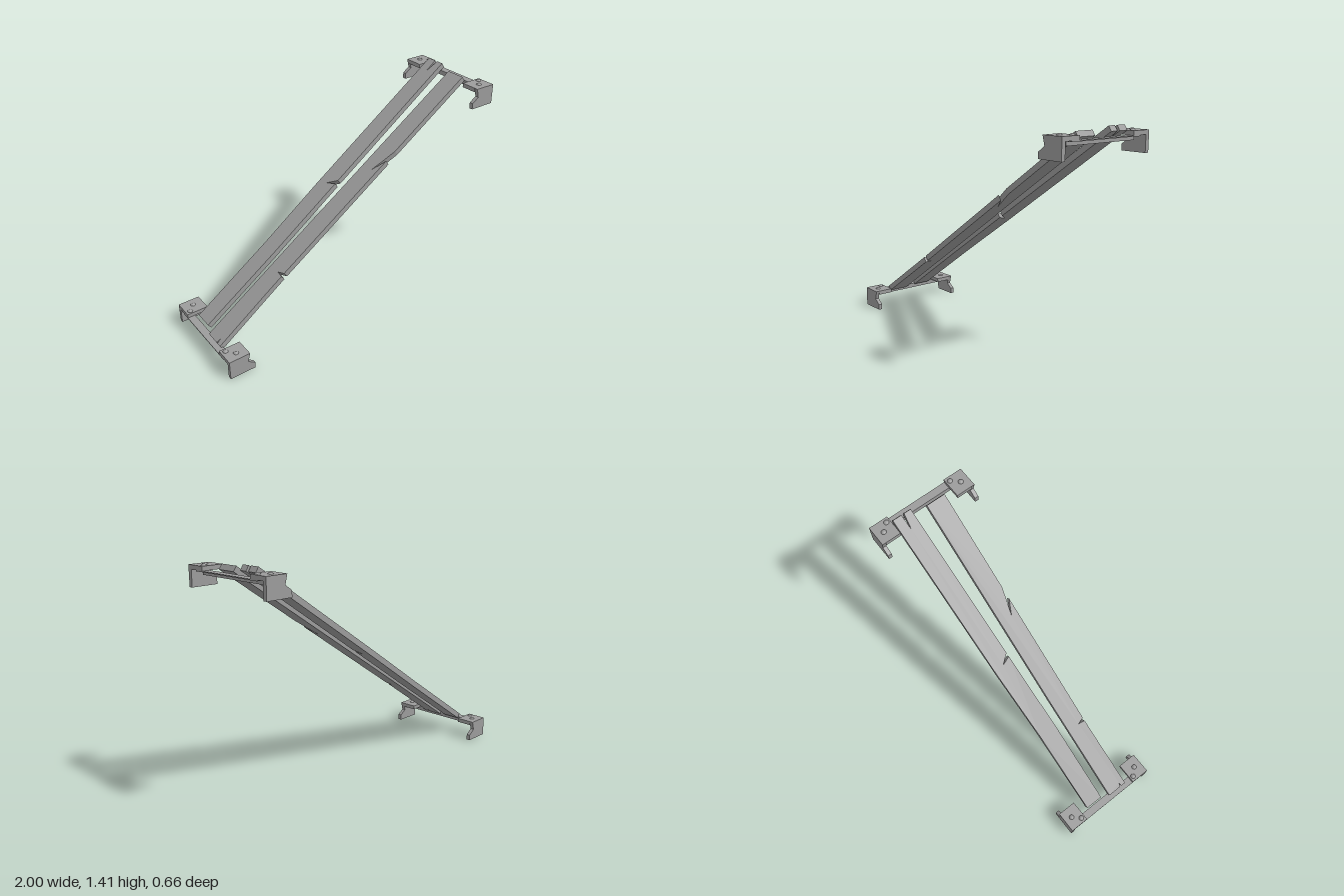
import * as THREE from 'three';

const material = new THREE.MeshStandardMaterial({ color: 0x9c9c9c, flatShading: true });

function mesh(name, geometry, x = 0, y = 0, z = 0) {
  const m = new THREE.Mesh(geometry, material);
  m.name = name;
  m.position.set(x, y, z);
  return m;
}

function extrude(points, depth) {
  const shape = new THREE.Shape(points.map(([x, y]) => new THREE.Vector2(x, y)));
  return new THREE.ExtrudeGeometry(shape, { depth, bevelEnabled: false });
}

// One end of the ramp: an angle-section crossbar hung between two bolted brackets
function createEnd(name) {
  const end = new THREE.Group();
  end.name = name;
  const angle = [[-1, 0.101], [-1, 0.095], [-0.956, 0.095], [-0.956, 0.071], [-0.95, 0.071], [-0.95, 0.101]];
  end.add(mesh('crossbar', extrude(angle, 0.52), 0, 0, -0.26));

  const plate = [[-1, 0], [-0.83, 0], [-0.83, 0.038], [-0.875, 0.07], [-0.86, 0.127], [-1, 0.127]];
  for (const side of [1, -1]) {
    const bracket = new THREE.Group();
    bracket.name = side > 0 ? 'frontBracket' : 'backBracket';
    bracket.add(mesh('sidePlate', extrude(plate, 0.025), 0, 0, side > 0 ? 0.306 : -0.331));
    bracket.add(mesh('topPlate', new THREE.BoxGeometry(0.14, 0.026, 0.102), -0.93, 0.114, side * 0.256));
    // Low domed bolt heads
    for (const [x, z] of [[-0.97, 0.23], [-0.926, 0.278]]) {
      const dome = new THREE.SphereGeometry(0.0195, 12, 3, 0, Math.PI * 2, 0, 1.06);
      bracket.add(mesh('bolt', dome, x, 0.1174, side * z));
    }
    end.add(bracket);
  }
  return end;
}

// Sloping plank; outline is given in plan as [x, z] of its upper face
const slope = Math.atan(0.677);
const thickness = 0.036;
function createPlank(name, outline) {
  const shift = thickness * Math.sin(slope);
  const points = outline.map(([x, z]) => [(x + shift) / Math.cos(slope), -z]);
  const geometry = extrude(points, thickness);
  geometry.rotateX(-Math.PI / 2);
  geometry.rotateZ(slope);
  return mesh(name, geometry, 0, 0.728, 0);
}

export function createModel() {
  const model = new THREE.Group();
  model.name = 'brokenPlankRamp';

  // Lower end, and the same end turned round at the top
  model.add(createEnd('lowerEnd'));
  const upper = createEnd('upperEnd');
  upper.rotation.y = Math.PI;
  upper.position.y = 1.249;
  model.add(upper);

  // Front plank with two edge cracks and a chipped foot
  model.add(createPlank('frontPlank', [
    [-0.97, 0.16], [-0.62, 0.15], [-0.51, 0.148], [-0.505, 0.1], [-0.49, 0.148],
    [0.295, 0.148], [0.21, 0.102], [0.3, 0.13], [0.365, 0.148],
    [0.91, 0.148], [0.91, 0.02], [-0.3, 0.016], [-0.97, 0.02],
    [-0.97, 0.117], [-0.945, 0.122], [-0.97, 0.128],
  ]));

  // Back plank, slightly bowed, with an edge crack and a split head
  model.add(createPlank('backPlank', [
    [-0.945, -0.036], [-0.45, -0.038], [0.043, -0.051], [0.022, -0.113], [0.066, -0.052],
    [0.938, -0.073], [0.938, -0.121], [0.855, -0.135], [0.938, -0.14],
    [0.938, -0.2], [0, -0.18], [-0.42, -0.162], [-0.945, -0.156],
  ]));

  return model;
}
